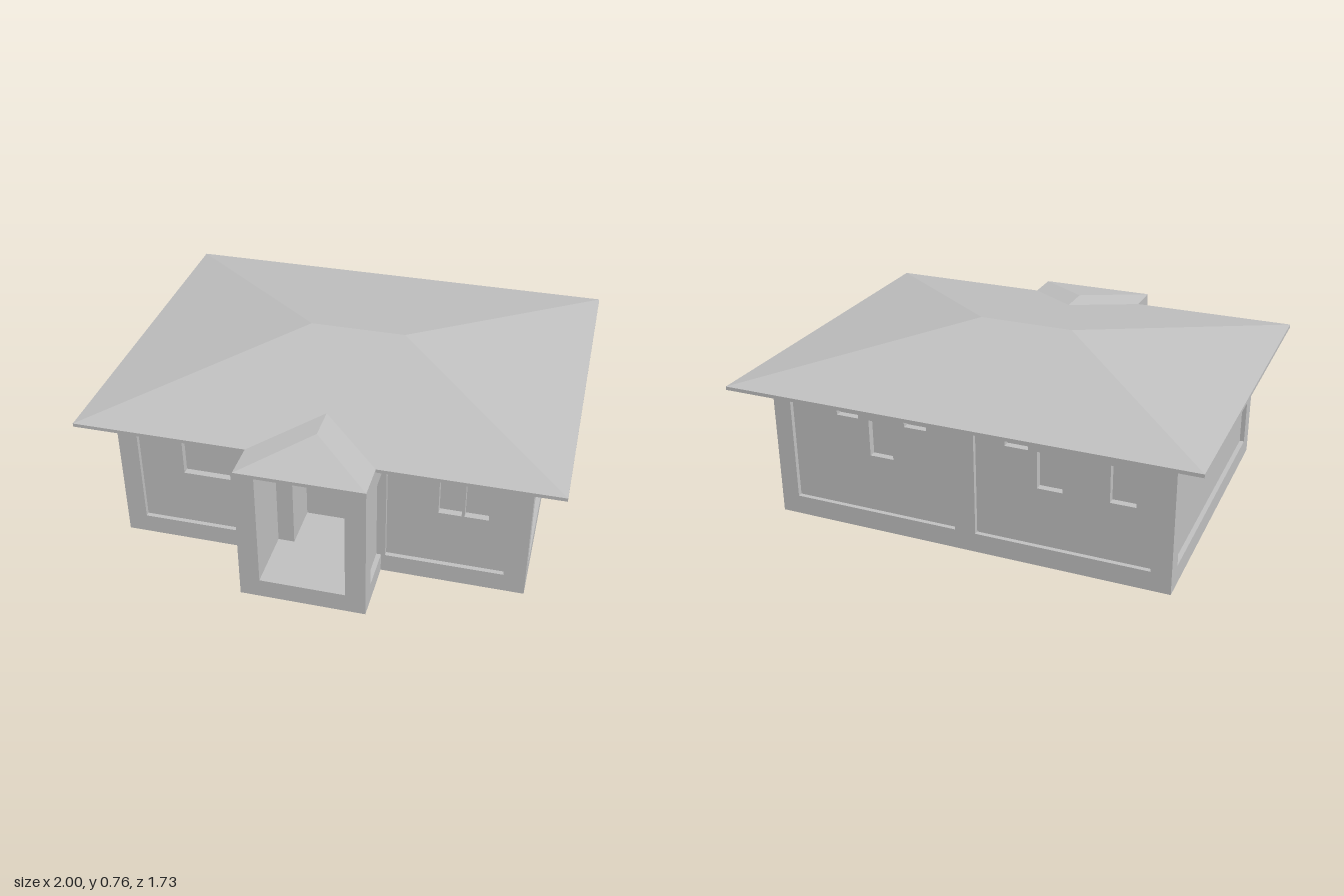
import * as THREE from 'three';

const H = 0.605;        // wall height
const EAVE = 0.62;      // top of the roof slab
const SKIN = 0.02;      // depth of the sunken wall panels
const REVEAL = 0.03;    // further depth of the windows

export function createModel() {
  const model = new THREE.Group();
  const grey = new THREE.MeshStandardMaterial({ color: 0xc0c0c0 });
  grey.name = 'plaster grey';

  const add = (name, geometry, parent = model) => {
    const mesh = new THREE.Mesh(geometry, grey);
    mesh.name = name;
    parent.add(mesh);
    return mesh;
  };

  // Box given by its limits
  const block = (name, x0, x1, y0, y1, z0, z1, parent) => {
    const mesh = add(name, new THREE.BoxGeometry(x1 - x0, y1 - y0, z1 - z0), parent);
    mesh.position.set((x0 + x1) / 2, (y0 + y1) / 2, (z0 + z1) / 2);
    return mesh;
  };

  // Upright sheet with rectangular openings [u0, u1, v0, v1]
  const sheet = (width, holes, depth) => {
    const rect = (T, [a, b, c, d]) => {
      const r = new T();
      r.moveTo(a, c).lineTo(b, c).lineTo(b, d).lineTo(a, d).closePath();
      return r;
    };
    const shape = rect(THREE.Shape, [-width / 2, width / 2, 0, H]);
    holes.forEach(h => shape.holes.push(rect(THREE.Path, h)));
    return new THREE.ExtrudeGeometry(shape, { depth, bevelEnabled: false });
  };

  // Wall of two layers: sunken panels outside, window openings inside
  const wall = (name, x, z, turn, width, panels, windows) => {
    const group = new THREE.Group();
    group.name = name;
    add('panelSurround', sheet(width, panels, SKIN), group).position.z = -SKIN;
    add('windowSurround', sheet(width, windows, REVEAL), group).position.z = -SKIN - REVEAL;
    group.position.set(x, 0, z);
    group.rotation.y = turn;
    model.add(group);
  };

  // Solid core behind the walls, notched for the entrance hall
  const core = new THREE.Shape();
  [[-0.82, -0.68], [0.82, -0.68], [0.82, 0.54], [0.18, 0.54], [0.18, 0.4],
    [-0.18, 0.4], [-0.18, 0.54], [-0.82, 0.54]]
    .forEach(([x, z], i) => (i ? core.lineTo(x, -z) : core.moveTo(x, -z)));
  const coreGeometry = new THREE.ExtrudeGeometry(core, { depth: H, bevelEnabled: false });
  coreGeometry.rotateX(-Math.PI / 2);
  add('houseCore', coreGeometry);

  // Front wall
  const doorway = [-0.18, 0.18, 0.085, 0.604];
  wall('frontWall', 0, 0.59, 0, 1.74,
    [[-0.785, -0.265, 0.085, 0.52], doorway, [0.283, 0.78, 0.085, 0.52]],
    [[-0.595, -0.39, 0.34, 0.5], doorway, [0.495, 0.59, 0.34, 0.5], [0.602, 0.7, 0.34, 0.5]]);

  // Back wall with two panels, three windows and three high vents
  const backOpening = (x, half, v0, v1) => [-x - half, -x + half, v0, v1];
  wall('backWall', 0, -0.73, Math.PI, 1.74,
    [[-0.79, -0.045, 0.085, 0.604], [0.045, 0.785, 0.085, 0.604]],
    [...[0.38, -0.36, -0.66].map(x => backOpening(x, 0.053, 0.34, 0.5)),
      ...[0.53, 0.22, -0.22].map(x => backOpening(x, 0.05, 0.5, 0.59))]);

  // Side walls, mirrored
  for (const s of [1, -1]) {
    const span = (z0, z1, v0, v1) => {
      const a = -s * (z0 + 0.07), b = -s * (z1 + 0.07);
      return [Math.min(a, b), Math.max(a, b), v0, v1];
    };
    wall(s > 0 ? 'leftWall' : 'rightWall', s * 0.87, -0.07, s * Math.PI / 2, 1.32,
      [span(-0.65, 0.505, 0.085, 0.52)],
      [span(-0.04, 0.07, 0.34, 0.5), span(-0.24, -0.13, 0.34, 0.5)]);
  }

  // Porch: floor, and a panelled cheek on each side
  block('porchFloor', -0.265, 0.265, 0, 0.085, 0.39, 0.865);
  for (const s of [1, -1]) {
    const porch = new THREE.Group();
    porch.name = s > 0 ? 'porchLeftCheek' : 'porchRightCheek';
    const span = (name, a, b, ...rest) =>
      block(name, Math.min(s * a, s * b), Math.max(s * a, s * b), ...rest, porch);
    span('cheekPanel', 0.18, 0.245, 0, H, 0.57, 0.865);
    span('cheekPost', 0.245, 0.265, 0, H, 0.78, 0.865);
    span('cheekTopRail', 0.245, 0.265, 0.52, H, 0.57, 0.78);
    span('cheekBottomRail', 0.245, 0.265, 0, 0.085, 0.57, 0.78);
    model.add(porch);
  }

  // Entrance: jamb and open door with a knob
  block('doorJamb', -0.18, -0.11, 0.085, H, 0.56, 0.6);
  block('door', -0.13, -0.11, 0.085, 0.58, 0.4, 0.57);
  const knob = add('doorKnob', new THREE.SphereGeometry(0.009, 10, 8));
  knob.position.set(-0.104, 0.3, 0.44);

  // Roof slabs
  block('roofSlab', -1, 1, H, EAVE, -0.865, 0.71);
  block('porchRoofSlab', -0.265, 0.265, H, EAVE, 0.55, 0.865);

  // Roof slopes from corner points and triangles
  const slopes = (name, points, faces) => {
    const g = new THREE.BufferGeometry();
    g.setAttribute('position', new THREE.Float32BufferAttribute(
      faces.flatMap(f => points[f]), 3));
    g.computeVertexNormals();
    add(name, g);
  };
  slopes('mainRoof', [
    [-1, EAVE, 0.71], [1, EAVE, 0.71], [1, EAVE, -0.865], [-1, EAVE, -0.865],
    [-0.21, 0.76, -0.077], [0.21, 0.76, -0.077],
  ], [0, 1, 5, 0, 5, 4, 1, 2, 5, 2, 3, 4, 2, 4, 5, 3, 0, 4]);
  slopes('porchRoof', [
    [-0.265, EAVE, 0.865], [0.265, EAVE, 0.865], [0.265, EAVE, 0.71], [-0.265, EAVE, 0.71],
    [0, 0.666, 0.6], [0, 0.666, 0.45],
  ], [0, 1, 4, 1, 2, 5, 1, 5, 4, 3, 0, 4, 3, 4, 5]);

  return model;
}
